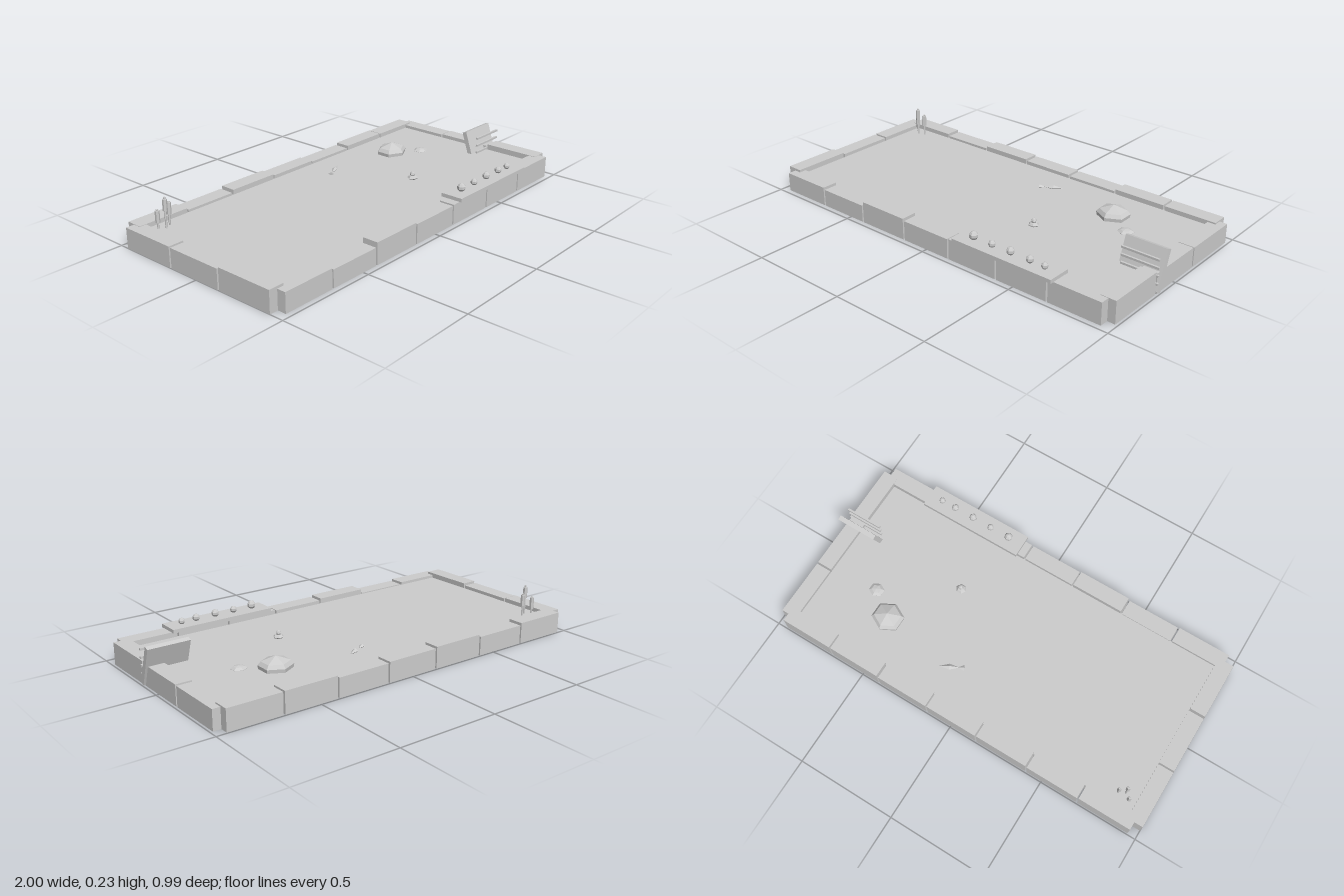
import * as THREE from 'three';

export function createModel() {
  const model = new THREE.Group();
  const stone = new THREE.MeshStandardMaterial({ color: 0xcccccc, flatShading: true, side: THREE.DoubleSide });
  stone.name = 'pale grey';

  const add = (name, geo, x = 0, y = 0, z = 0, parent = model) => {
    const mesh = new THREE.Mesh(geo, stone);
    mesh.name = name;
    mesh.position.set(x, y, z);
    parent.add(mesh);
    return mesh;
  };

  // Rim block: a box without its underside
  const block = (name, x0, x1, z0, z1, h) => {
    const geo = new THREE.BoxGeometry(x1 - x0, h, z1 - z0);
    const idx = Array.from(geo.index.array);
    idx.splice(18, 6);
    geo.setIndex(idx);
    geo.clearGroups();
    add(name, geo, (x0 + x1) / 2, h / 2, (z0 + z1) / 2);
  };

  // Long front and back rims, seven blocks each
  const frontH = [0.094, 0.085, 0.106, 0.097, 0.1, 0.1, 0.106];
  const backH = [0.102, 0.092, 0.105, 0.098, 0.093, 0.104, 0.102];
  for (let i = 0; i < 7; i++) {
    const x0 = -0.957 + i * 0.2735;
    block('frontRimBlock', x0, x0 + 0.265, 0.395, 0.474, frontH[i]);
    block('backRimBlock', x0, x0 + 0.265, -0.494, -0.415, backH[i]);
  }

  // Short side rims, three blocks each
  const leftH = [0.095, 0.098, 0.108], rightH = [0.1, 0.097, 0.106];
  for (let i = 0; i < 3; i++) {
    const z0 = -0.454 + i * 0.298;
    block('leftRimBlock', 0.909, 0.987, z0, z0 + 0.289, leftH[i]);
    block('rightRimBlock', -1, -0.922, z0, z0 + 0.289, rightH[i]);
  }

  // Pond body filling the rim
  add('water', new THREE.BoxGeometry(1.83, 0.074, 0.82), -0.007, 0.043, -0.011);

  // Ledge with a row of small balls
  add('ledge', new THREE.BoxGeometry(0.54, 0.018, 0.115), 0.442, 0.114, 0.434);
  const balls = [[0.25, 0.021], [0.354, 0.017], [0.456, 0.019], [0.56, 0.018], [0.637, 0.016]];
  for (const [x, r] of balls) add('ball', new THREE.SphereGeometry(r, 7, 5), x, 0.121 + r, 0.434);

  // Leaning board with upright row of slats
  const board = add('leaningBoard', new THREE.BoxGeometry(0.207, 0.192, 0.024), 0.895, 0.099, 0.1);
  board.rotation.x = -0.33;
  for (let i = 0; i < 5; i++)
    add('slat', new THREE.BoxGeometry(0.187, 0.01, 0.01), 0.903, 0.165 - i * 0.038, 0.137);

  // Reeds: x, z, head bottom, head top, tip
  const reeds = [
    [-0.886, -0.378, 0.108, 0.165, 0.17],
    [-0.86, -0.354, 0.163, 0.217, 0.227],
    [-0.828, -0.37, 0.132, 0.188, 0.193],
  ];
  for (const [x, z, y0, y1, tip] of reeds) {
    const reed = new THREE.Group();
    reed.name = 'reed';
    reed.position.set(x, 0, z);
    model.add(reed);
    add('reedStem', new THREE.CylinderGeometry(0.005, 0.005, tip - 0.075, 5), 0, (tip + 0.075) / 2, 0, reed);
    add('reedHead', new THREE.CylinderGeometry(0.011, 0.011, y1 - y0, 6), 0, (y0 + y1) / 2, 0, reed);
  }

  // Six-sided rocks reaching down to the pond floor
  const rock = (name, points, x, z) => {
    const profile = points.map(([r, y]) => new THREE.Vector2(r, y));
    add(name, new THREE.LatheGeometry(profile, 6), x, 0, z).scale.x = 1.1;
  };
  rock('largeRock', [[0, 0.003], [0.062, 0.003], [0.074, 0.097], [0.061, 0.114], [0, 0.138]], 0.534, -0.214);
  rock('smallRock', [[0, 0.003], [0.036, 0.003], [0.036, 0.081], [0.022, 0.09], [0, 0.094]], 0.664, -0.122);

  // Float: a squat body with a knob
  const floatBody = add('floatBody', new THREE.SphereGeometry(0.026, 6, 4), 0.314, 0.085, 0.097);
  floatBody.scale.y = 0.5;
  add('floatKnob', new THREE.SphereGeometry(0.014, 6, 4), 0.314, 0.103, 0.097);

  // Small fish at the surface: long body and a tail
  const fish = new THREE.Group();
  fish.name = 'fish';
  fish.position.set(0.135, 0.086, -0.264);
  fish.rotation.y = 0.46;
  model.add(fish);
  const body = add('fishBody', new THREE.OctahedronGeometry(1), 0.012, 0, 0, fish);
  body.scale.set(0.048, 0.012, 0.015);
  const tail = new THREE.ConeGeometry(0.015, 0.03, 4);
  tail.rotateZ(-Math.PI / 2);
  add('fishTail', tail, -0.043, 0, 0, fish).scale.y = 0.6;

  // Pebbles set in the pond floor
  const pebbles = [[0.74, -0.29], [0.53, 0.03], [0.33, -0.14], [0.29, -0.01], [0.45, 0.17], [0.09, -0.14]];
  for (const [x, z] of pebbles)
    add('pebble', new THREE.CylinderGeometry(0.02, 0.02, 0.008, 6), x, 0.007, z);
  return model;
}
